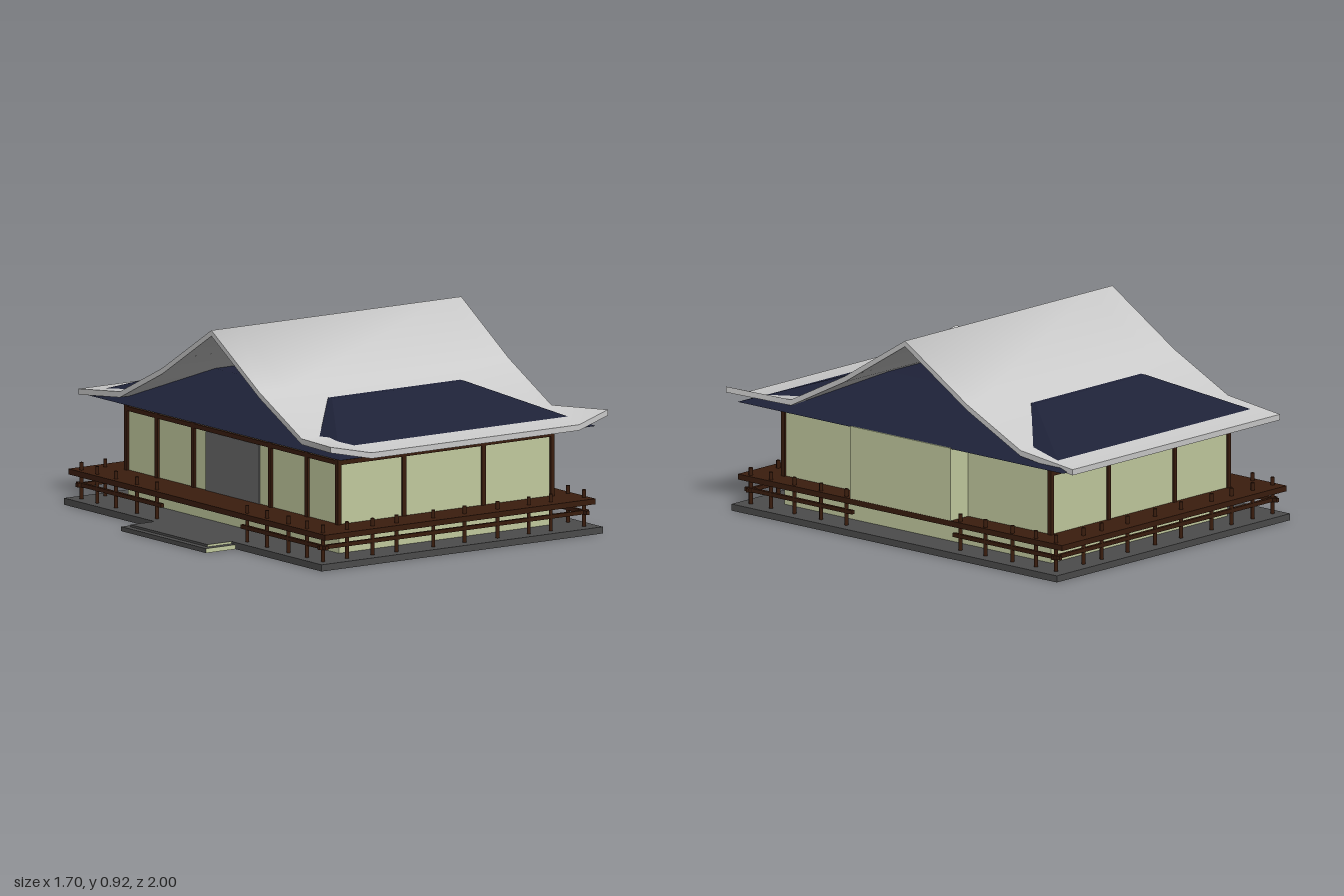
import * as THREE from 'three';

const mat = (color) => new THREE.MeshStandardMaterial({ color });
const grey = mat(0xcccccc), green = mat(0xc4cca0), navy = mat(0x1e2238);
const brown = mat(0x3a1d0e), stone = mat(0x4c4c4c), doorGrey = mat(0x6a6a6a);

export function createModel() {
  const model = new THREE.Group();

  const add = (name, geometry, material, parent = model) => {
    const mesh = new THREE.Mesh(geometry, material);
    mesh.name = name;
    parent.add(mesh);
    return mesh;
  };
  // Box given by its extents on each axis
  const box = (name, material, [x0, x1], [y0, y1], [z0, z1], parent) => {
    const g = new THREE.BoxGeometry(x1 - x0, y1 - y0, z1 - z0);
    g.translate((x0 + x1) / 2, (y0 + y1) / 2, (z0 + z1) / 2);
    return add(name, g, material, parent);
  };
  const group = (name) => {
    const g = new THREE.Group();
    g.name = name;
    model.add(g);
    return g;
  };

  // Foundation slab and entrance steps
  box('foundation', [stone, stone, stone, green, stone, stone], [-0.69, 0.84], [0, 0.03], [-0.97, 0.97]);
  const stepSides = [stone, stone, stone, green, green, green];
  box('upperStep', stepSides, [-0.82, -0.69], [0, 0.03], [-0.29, 0.29]);
  box('lowerStep', stepSides, [-0.85, -0.69], [0, 0.02], [-0.32, 0.32]);

  // Walls, side alcove and raised deck
  box('walls', green, [-0.47, 0.685], [0.03, 0.49], [-0.795, 0.795]);
  box('sideAlcove', green, [0.68, 0.8], [0.14, 0.49], [-0.3, 0.3]);
  box('deck', brown, [-0.67, 0.802], [0.135, 0.16], [-0.967, 0.967]);
  box('door', doorGrey, [-0.476, -0.46], [0.16, 0.425], [-0.2, 0.2]);

  // Timber frame
  const frame = group('timberFrame');
  const post = (x, z) =>
    box('pillar', brown, [x - 0.01, x + 0.01], [0.15, 0.49], [z - 0.01, z + 0.01], frame);
  for (const z of [-0.795, 0.795]) {
    for (const x of [-0.473, -0.12, 0.312, 0.687]) post(x, z);
    box('beam', brown, [-0.47, 0.687], [0.427, 0.447], [z - 0.008, z + 0.008], frame);
  }
  for (const z of [-0.565, -0.29, 0.29, 0.565]) post(-0.473, z);
  box('beam', brown, [-0.481, -0.465], [0.427, 0.447], [-0.795, 0.795], frame);

  // Railing around the deck, open at the middle of both long sides
  const railing = group('railing');
  const railPost = new THREE.CylinderGeometry(0.009, 0.009, 0.165, 10);
  const addPost = (x, z) =>
    add('railPost', railPost, brown, railing).position.set(x, 0.1125, z);
  for (const s of [-1, 1]) {
    for (const x of [-0.51, -0.37, -0.24, -0.04, 0.13, 0.31, 0.48, 0.6]) addPost(x, s * 0.91);
    box('frontRail', brown, [-0.665, 0.802], [0.085, 0.103], [s * 0.91 - 0.008, s * 0.91 + 0.008], railing);
    for (const x of [-0.64, 0.78]) {
      for (const z of [0.91, 0.79, 0.65, 0.49, 0.34]) addPost(x, s * z);
      const ends = [s * 0.3, s * 0.94].sort((a, b) => a - b);
      box('sideRail', brown, [x - 0.008, x + 0.008], [0.085, 0.103], ends, railing);
    }
  }

  // Hipped lower roof: a box whose top is drawn inwards
  const hip = new THREE.BoxGeometry(1, 1, 1);
  const hp = hip.attributes.position;
  for (let i = 0; i < hp.count; i++) {
    const top = hp.getY(i) > 0, right = hp.getX(i) > 0, side = Math.sign(hp.getZ(i));
    const x = right ? (top ? 0.44 : 0.8) : (top ? -0.28 : -0.59);
    hp.setXYZ(i, x, top ? 0.655 : 0.487, side * (top ? 0.48 : 0.97));
  }
  hip.computeVertexNormals();
  add('hippedRoof', hip, navy);

  // Curved main roof: a thin sheet bent along a profile, front corners flared upwards
  const profile = [[-1, 0.505], [-0.69, 0.54], [-0.37, 0.695], [0, 0.922], [0.36, 0.7], [0.68, 0.54], [1, 0.51]];
  const columns = [-0.59, -0.44, 0.69, 0.77];
  const roof = new THREE.BoxGeometry(1, 1, 1, 3, 1, 6);
  const rp = roof.attributes.position;
  for (let i = 0; i < rp.count; i++) {
    const c = Math.round((rp.getX(i) + 0.5) * 3);
    const r = Math.round((rp.getZ(i) + 0.5) * 6);
    let x = columns[c], [z, y] = profile[r];
    if (rp.getY(i) < 0) y -= 0.026;
    if (r === 6 && (c === 0 || c === 3)) {
      x += c === 0 ? -0.075 : 0.075;
      y += 0.05;
    }
    rp.setXYZ(i, x, y, z);
  }
  roof.computeVertexNormals();
  add('mainRoof', roof, grey);

  return model;
}
